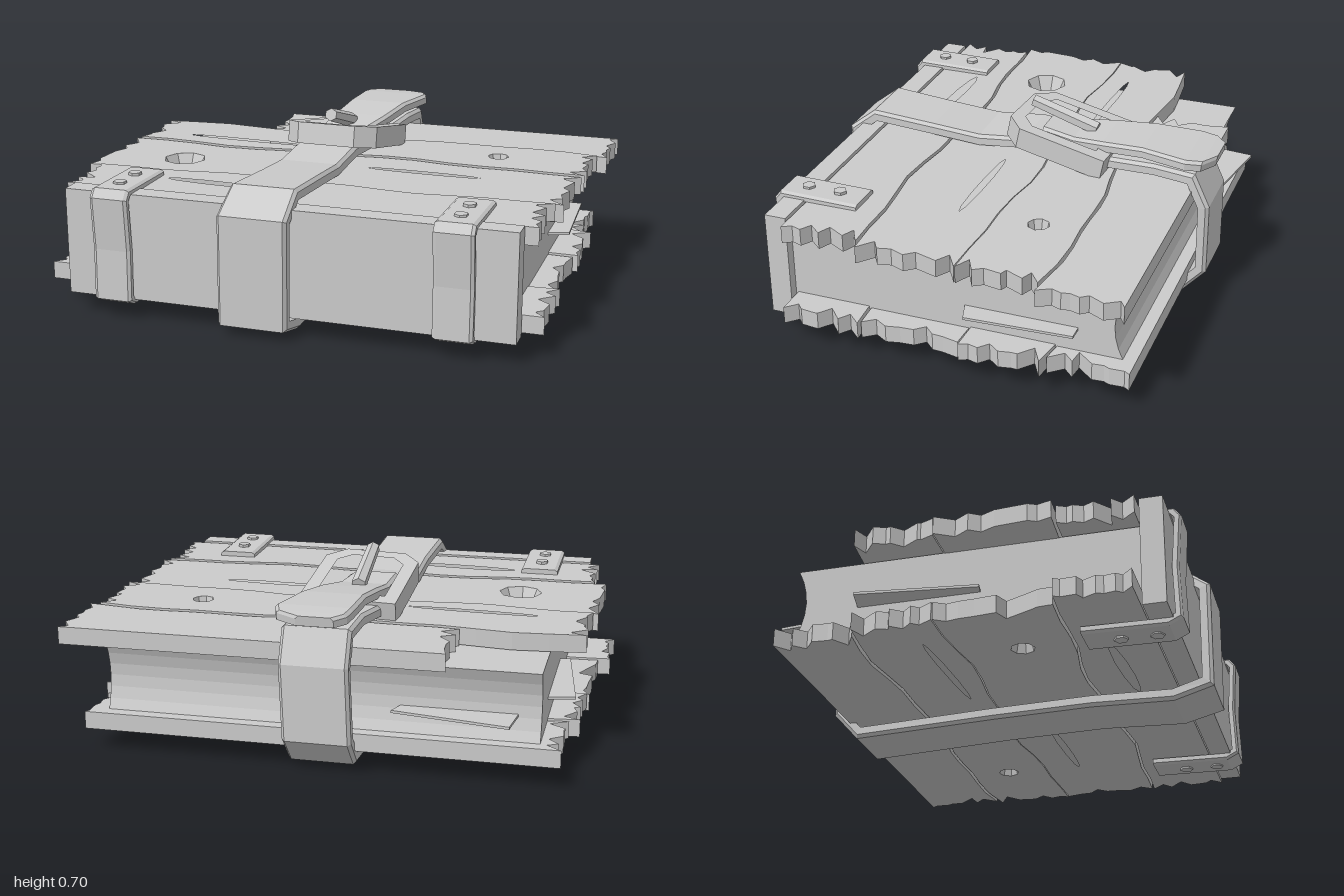
import * as THREE from 'three';

const mat = new THREE.MeshStandardMaterial({ color: 0xcccccc, flatShading: true });
const openMat = new THREE.MeshStandardMaterial({ color: 0xcccccc, flatShading: true, side: THREE.DoubleSide });

function add(parent, name, geometry, material = mat) {
  const m = new THREE.Mesh(geometry, material);
  m.name = name;
  parent.add(m);
  return m;
}

// small seeded generator, returns 0..1
function seeded(seed) {
  return () => (seed = (seed * 16807) % 2147483647) / 2147483647;
}

// flat slab from an outline in x/z, standing on y
function slab(points, y, depth, holes = []) {
  const toShape = (p, C) => new C(p.map(([x, z]) => new THREE.Vector2(x, -z)));
  const shape = toShape(points, THREE.Shape);
  shape.holes = holes.map((h) => toShape(h, THREE.Path));
  const g = new THREE.ExtrudeGeometry(shape, { depth, bevelEnabled: false });
  return g.rotateX(-Math.PI / 2).translate(0, y, 0);
}

function ellipse(x, z, rx, rz, n = 8, tilt = 0) {
  return Array.from({ length: n }, (_, i) => {
    const a = (i / n) * Math.PI * 2;
    return [x + rx * Math.cos(a), z + rz * Math.sin(a) + tilt * Math.cos(a)];
  });
}

// band along points [x, y, z, width], bending in the y/z plane;
// the outer face (left of the path seen from +x) has chamfered edges
function band(path, thick, closed = false) {
  const n = path.length, m = 6, pos = [], idx = [];
  const dir = (a, b) => new THREE.Vector2(b[2] - a[2], b[1] - a[1]).normalize();
  path.forEach((p, i) => {
    const prev = path[closed ? (i + n - 1) % n : Math.max(i - 1, 0)];
    const next = path[closed ? (i + 1) % n : Math.min(i + 1, n - 1)];
    const d1 = prev === p ? dir(p, next) : dir(prev, p);
    const d2 = next === p ? d1 : dir(p, next);
    const t = d1.clone().add(d2).normalize();
    const k = thick / 2 / Math.max(t.dot(d1), 0.6);
    const w = p[3] / 2, c = 0.012;
    const section = [[-w, -1], [w, -1], [w, 0.4], [w - c, 1], [-w + c, 1], [-w, 0.4]];
    for (const [u, v] of section) pos.push(p[0] + u, p[1] - t.x * v * k, p[2] + t.y * v * k);
  });
  for (let i = 0; i < (closed ? n : n - 1); i++) {
    for (let j = 0; j < m; j++) {
      const a = i * m + j, b = i * m + ((j + 1) % m);
      const c = ((i + 1) % n) * m + j, d = ((i + 1) % n) * m + ((j + 1) % m);
      idx.push(a, c, b, b, c, d);
    }
  }
  if (!closed) {
    const e = (n - 1) * m;
    for (let j = 1; j < m - 1; j++) idx.push(0, j, j + 1, e, e + j + 1, e + j);
  }
  const g = new THREE.BufferGeometry();
  g.setAttribute('position', new THREE.Float32BufferAttribute(pos, 3));
  g.setIndex(idx);
  const flat = g.toNonIndexed();
  flat.computeVertexNormals();
  return flat;
}

// wooden cover of four weathered planks with splits and knot holes
const seams = [-0.71, -0.4, -0.09, 0.33, 0.63];
const seamZ = (k, x) => seams[k] + (k % 4 ? 0.016 * Math.sin(x * 5 + k * 2) + 0.008 * Math.sin(x * 13 + k) : 0);

function cover(parent, name, y, ends, seed, knot, up) {
  const group = new THREE.Group();
  group.name = name;
  parent.add(group);
  const rand = seeded(seed);
  const knots = [[0.57, -0.25, 0.042], [-0.64, 0.15, knot]];
  const cuts = [
    [],
    [ellipse(...knots[0], knots[0][2]), ellipse(-0.5, -0.18, 0.26, 0.013, 10, 0.01)],
    [ellipse(...knots[1], knots[1][2]), ellipse(0.34, 0.06, 0.23, 0.015, 10, 0.005)],
    [ellipse(-0.36, 0.465, 0.22, 0.022, 10, 0.01)],
  ];
  ends.forEach(([x0, x1], k) => {
    const pts = [], steps = 14, teeth = 8;
    const edge = (x, s) => (s ? seamZ(k + 1, x) - 0.004 : seamZ(k, x) + 0.004);
    // one long side, then the splintered end that follows it
    const side = (from, to, s) => {
      for (let i = 0; i <= steps; i++) {
        const x = THREE.MathUtils.lerp(from, to, i / steps);
        pts.push([x, edge(x, s)]);
      }
      for (let i = 1; i < teeth; i++) {
        const f = (i + (rand() - 0.5) * 0.9) / teeth;
        const bite = (i % 2 ? 0.075 : 0.02) * rand();
        pts.push([to - Math.sign(to - from) * bite, THREE.MathUtils.lerp(edge(to, s), edge(to, 1 - s), f)]);
      }
    };
    side(x0, x1, 0);
    side(x1, x0, 1);
    add(group, 'plank', slab(pts, y + (k % 2) * 0.006, 0.068, cuts[k]));
  });
  // knot holes narrow towards the pages
  knots.forEach(([x, z, r], i) => {
    const inner = r * 0.62;
    const g = new THREE.CylinderGeometry(up ? r : inner, up ? inner : r, 0.068, 8, 1, true);
    add(group, 'knotHole', g.rotateY(Math.PI / 2).translate(x, y + 0.034 + (i ? 0 : 0.006), z), openMat);
  });
}

export function createModel() {
  const book = new THREE.Group();
  book.name = 'book';

  // covers; the rear plank of the top one is broken short
  cover(book, 'topCover', 0.418, [[-0.48, 0.99], [-0.95, 0.95], [-0.97, 0.94], [-0.92, 0.91]], 11, 0.085, true);
  cover(book, 'bottomCover', 0.088, [[-0.9, 0.9], [-0.94, 0.94], [-0.95, 0.92], [-1, 0.94]], 47, 0.045, false);

  // page block with hollowed fore edge
  const pages = new THREE.Shape();
  pages.moveTo(-0.66, 0.15);
  pages.lineTo(0.66, 0.15);
  pages.quadraticCurveTo(0.59, 0.285, 0.66, 0.42);
  pages.lineTo(-0.66, 0.42);
  add(book, 'pages', new THREE.ExtrudeGeometry(pages, { depth: 1.64, bevelEnabled: false, curveSegments: 6 })
    .rotateY(Math.PI / 2).translate(-0.82, 0, 0));

  // loose sheets slipping out of the block
  const sheets = [
    [[0.7, -0.02], [0.9, -0.08], [0.88, -0.49], [0.7, -0.49]],
    [[-0.72, -0.765], [-0.28, -0.69], [-0.35, -0.5], [-0.75, -0.5]],
    [[-0.7, -0.45], [-0.92, -0.4], [-0.86, 0.05], [-0.7, 0.02]],
  ];
  sheets.forEach((s) => add(book, 'looseSheet', slab(s, 0.242, 0.01)));

  // spine board
  add(book, 'spine', new THREE.BoxGeometry(1.74, 0.415, 0.085).translate(-0.01, 0.29, 0.677));

  // riveted metal brackets wrapping the spine
  for (const x of [-0.685, 0.635]) {
    const bracket = new THREE.Group();
    bracket.name = 'bracket';
    book.add(bracket);
    const w = 0.15;
    add(bracket, 'bracketPlate', band([
      [x, 0.075, 0.39, w], [x, 0.07, 0.7, w], [x, 0.09, 0.74, w], [x, 0.28, 0.735, w],
      [x, 0.48, 0.75, w], [x, 0.505, 0.73, w], [x, 0.5, 0.42, w],
    ], 0.025));
    for (const z of [0.52, 0.65]) {
      for (const y of [0.514, 0.064]) {
        add(bracket, 'rivet', new THREE.CylinderGeometry(0.026, 0.026, 0.022, 6).translate(x, y, z));
      }
    }
  }

  // belt looped around the whole book
  const beltPath = [
    [-0.11, 0.46, 0.76, 0.27], [-0.1, 0.54, 0.66, 0.26], [-0.09, 0.525, 0.4, 0.25], [-0.09, 0.51, 0.2, 0.25],
    [-0.08, 0.535, 0, 0.25], [-0.06, 0.52, -0.3, 0.25], [-0.02, 0.545, -0.55, 0.26], [-0.01, 0.535, -0.7, 0.26],
    [-0.01, 0.42, -0.755, 0.26], [-0.02, 0.14, -0.755, 0.26], [-0.02, 0.045, -0.67, 0.26],
    [-0.06, 0.05, -0.1, 0.25], [-0.09, 0.045, 0.3, 0.25], [-0.11, 0.025, 0.62, 0.26], [-0.115, 0.06, 0.755, 0.27],
  ];
  add(book, 'belt', band(beltPath, 0.042, true));

  // free end of the belt, pulled through the buckle
  add(book, 'beltTongue', band([
    [-0.09, 0.575, -0.06, 0.18], [-0.07, 0.565, -0.2, 0.2], [-0.045, 0.585, -0.33, 0.23], [-0.02, 0.605, -0.5, 0.25],
    [0.005, 0.605, -0.68, 0.29], [0, 0.6, -0.74, 0.26], [-0.02, 0.595, -0.78, 0.14],
  ], 0.038));

  // tilted buckle frame
  const frame = (w, b, f, c) => [
    [-w, -b], [w, -b], [w, f - c], [w - c, f], [-w + c, f], [-w, f - c],
  ];
  const buckle = add(book, 'buckle', slab(frame(0.19, 0.215, 0.215, 0.07), -0.0425, 0.085, [frame(0.135, 0.16, 0.165, 0.05)]));
  buckle.position.set(-0.055, 0.565, -0.155);
  buckle.rotation.set(-0.2, -0.06, 0);

  // buckle prong
  const prong = add(book, 'buckleProng', new THREE.CylinderGeometry(0.026, 0.03, 0.28, 6).rotateX(Math.PI / 2));
  prong.position.set(-0.065, 0.635, -0.135);
  prong.rotation.x = -0.3;

  return book;
}
